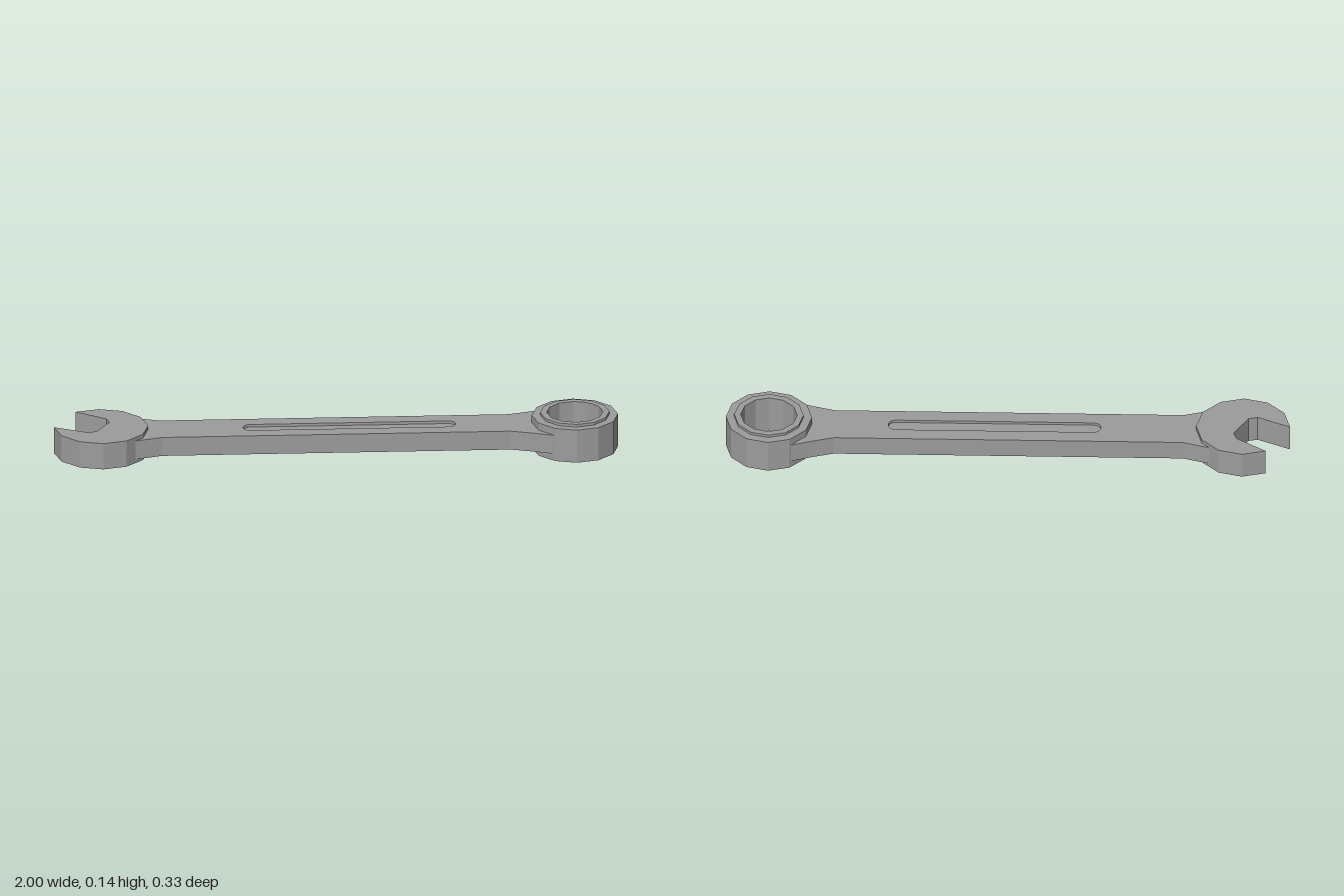
import * as THREE from 'three';

const MID = 0.072; // height of the central plane
const material = new THREE.MeshStandardMaterial({ color: 0x9c9c9c, flatShading: true });

// Plate lying flat, centred on the central plane; shape y points to -z
function plate(name, shape, thickness) {
  const geometry = new THREE.ExtrudeGeometry(shape, { depth: thickness, bevelEnabled: false, curveSegments: 8 });
  geometry.rotateX(-Math.PI / 2);
  geometry.translate(0, MID - thickness / 2, 0);
  const mesh = new THREE.Mesh(geometry, material);
  mesh.name = name;
  return mesh;
}

// Long slot with round ends
function slot(Type, x0, x1, r) {
  const s = new Type();
  s.moveTo(x0 + r, -r);
  s.lineTo(x1 - r, -r);
  s.absarc(x1 - r, 0, r, -Math.PI / 2, Math.PI / 2, false);
  s.lineTo(x0 + r, r);
  s.absarc(x0 + r, 0, r, Math.PI / 2, Math.PI * 1.5, false);
  return s;
}

export function createModel() {
  const group = new THREE.Group();
  group.name = 'combinationWrench';

  // Handle flaring into both heads, with a sunken slot in each face
  const half = [[-0.74, 0.118], [-0.68, 0.1], [-0.622, 0.082], [0.615, 0.082], [0.69, 0.104], [0.765, 0.13], [0.735, 0.05]];
  const outline = [
    ...half.map(([x, z]) => new THREE.Vector2(x, -z)),
    ...half.slice().reverse().map(([x, z]) => new THREE.Vector2(x, z)),
  ];
  const handle = new THREE.Shape(outline);
  handle.holes.push(slot(THREE.Path, -0.33, 0.424, 0.028));
  group.add(plate('handle', handle, 0.07));
  group.add(plate('slotFloor', slot(THREE.Shape, -0.33, 0.424, 0.028), 0.05));

  // Open jaw: twelve-sided disc with an angled mouth
  const jaw = [];
  for (let deg = 180; deg <= 480; deg += 30) {
    const a = THREE.MathUtils.degToRad(deg);
    jaw.push(new THREE.Vector2(Math.cos(a), Math.sin(a)).multiplyScalar(0.167));
  }
  for (const [u, v] of [[-0.016, 0.073], [0.008, 0.05], [0.008, -0.05], [-0.016, -0.073]]) {
    jaw.push(new THREE.Vector2(u, v).rotateAround(new THREE.Vector2(), -Math.PI / 6));
  }
  jaw.forEach((p) => { p.x -= 0.834; });
  group.add(plate('openJaw', new THREE.Shape(jaw), 0.098));

  // Ring head: twelve-sided, with a raised rim on both faces around the bore
  const profile = [
    [0.1, 0], [0.123, 0], [0.123, 0.01], [0.153, 0.01], [0.153, 0.134],
    [0.123, 0.134], [0.123, 0.144], [0.1, 0.144], [0.1, 0],
  ].map(([r, y]) => new THREE.Vector2(r, y));
  const ring = new THREE.Mesh(new THREE.LatheGeometry(profile, 12), material);
  ring.name = 'ringHead';
  ring.position.x = 0.847;
  group.add(ring);

  return group;
}
